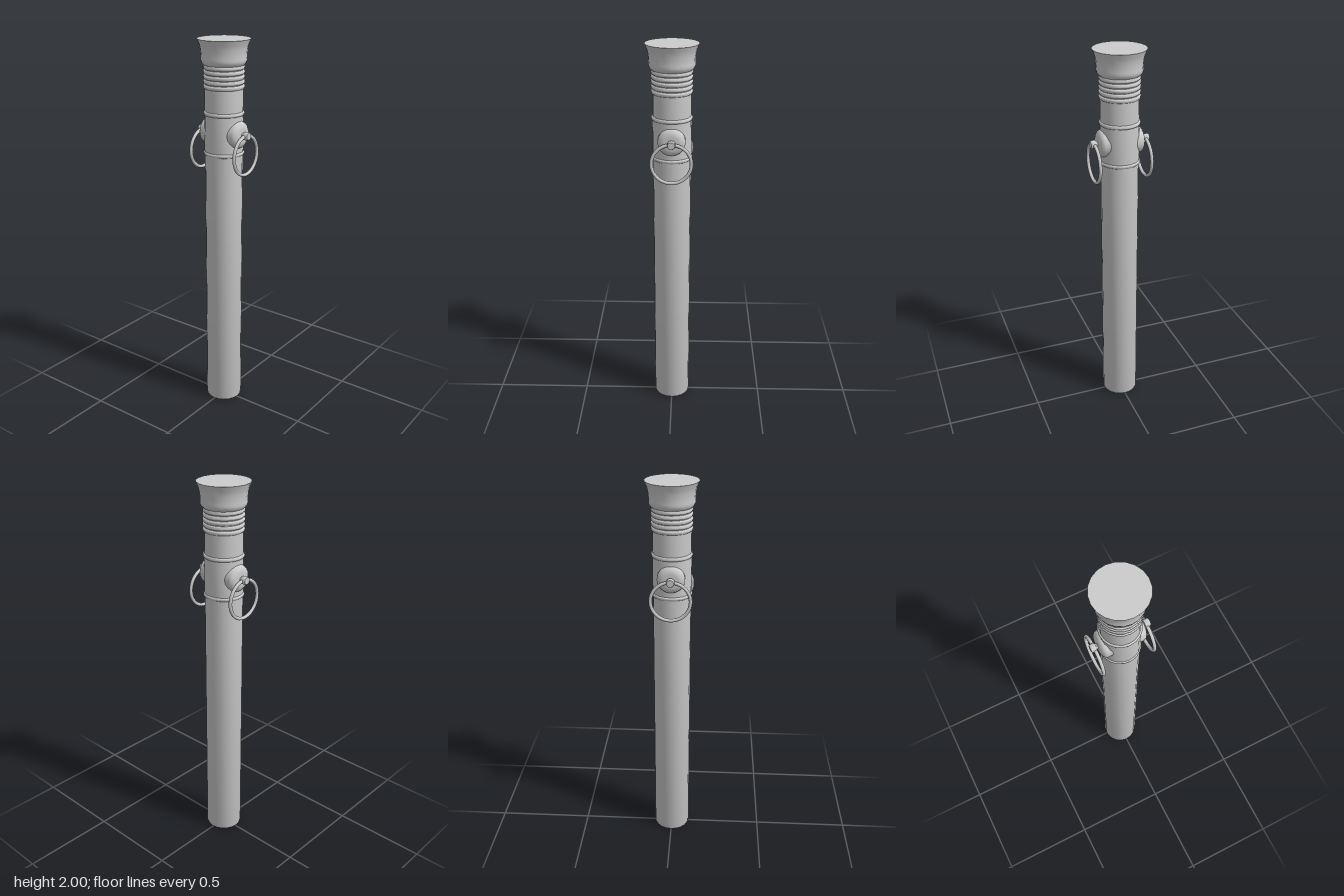
import * as THREE from 'three';
import { toCreasedNormals } from 'three/addons/utils/BufferGeometryUtils.js';

const SIDES = 20;
const material = new THREE.MeshStandardMaterial({ color: 0xcccccc });

function mesh(name, geometry, parent) {
  const m = new THREE.Mesh(geometry, material);
  m.name = name;
  parent.add(m);
  return m;
}

// Turned part from [radius, height] pairs, listed bottom to top
function turned(name, profile, parent, sides = SIDES) {
  const points = profile.map(([r, y]) => new THREE.Vector2(r, y));
  const geometry = new THREE.LatheGeometry(points, sides);
  return mesh(name, toCreasedNormals(geometry, 0.6), parent);
}

// Half-round raised band around the tube
function band(name, y, radius, height, depth, parent) {
  const profile = [];
  for (let i = 0; i <= 6; i++) {
    const a = -Math.PI / 2 + (i / 6) * Math.PI;
    profile.push([radius + depth * Math.cos(a), y + (height / 2) * Math.sin(a)]);
  }
  return turned(name, profile, parent);
}

// Round boss, pin and hanging ring, built facing +z
function ringMount(name) {
  const mount = new THREE.Group();
  mount.name = name;
  const pinY = 1.533;

  const boss = turned('boss', [
    [0.07, 0.06], [0.07, 0.095], [0.066, 0.105], [0.056, 0.113],
    [0.044, 0.118], [0.036, 0.119], [0, 0.119],
  ], mount);
  const pin = turned('pin', [
    [0.014, 0.11], [0.014, 0.126], [0.019, 0.127], [0.021, 0.131],
    [0.021, 0.15], [0.018, 0.155], [0, 0.155],
  ], mount, 16);
  for (const part of [boss, pin]) {
    part.rotation.x = Math.PI / 2;
    part.position.y = pinY;
  }

  const ring = mesh('hangingRing', new THREE.TorusGeometry(0.1, 0.009, 10, 36), mount);
  ring.position.set(0, 1.433, 0.136);
  return mount;
}

export function createModel() {
  const model = new THREE.Group();
  model.name = 'flaredCylinder';

  // Long tube with a rounded lower edge
  turned('tube', [
    [0, 0], [0.088, 0], [0.094, 0.004], [0.097, 0.012], [0.097, 1.88],
  ], model);

  // Sleeve carrying the rings, bordered by two bands
  turned('sleeve', [[0.097, 1.43], [0.099, 1.43], [0.099, 1.635], [0.097, 1.635]], model);
  for (const y of [1.43, 1.635]) band('sleeveBand', y, 0.097, 0.02, 0.008, model);

  // Stacked grip ribs
  for (let i = 0; i < 5; i++) band('gripRib', 1.768 + i * 0.024, 0.096, 0.022, 0.009, model);

  // Flared cap with a rounded shoulder and flat top
  turned('flaredCap', [
    [0.096, 1.872], [0.104, 1.875], [0.112, 1.885], [0.116, 1.897],
    [0.115, 1.908], [0.116, 1.93], [0.119, 1.955], [0.124, 1.975],
    [0.135, 2], [0, 2],
  ], model);

  // Matching ring mounts on front and back
  const front = ringMount('frontRingMount');
  const back = ringMount('backRingMount');
  back.rotation.y = Math.PI;
  model.add(front, back);

  return model;
}
